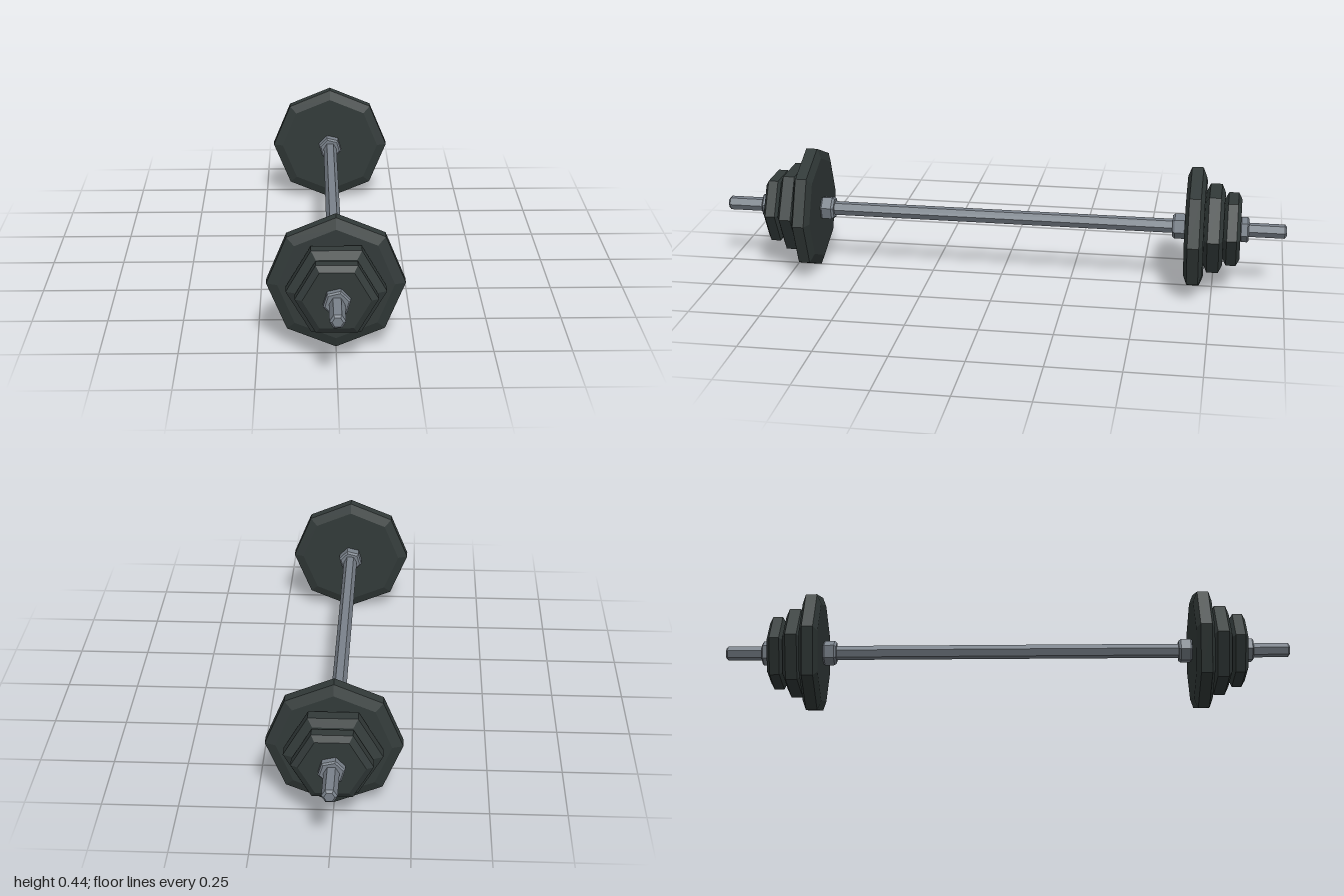
import * as THREE from 'three';

export function createModel() {
  const steel = new THREE.MeshStandardMaterial({ color: 0x7a828b, flatShading: true });
  steel.name = 'steel grey';
  const iron = new THREE.MeshStandardMaterial({ color: 0x323a39, flatShading: true });
  iron.name = 'dark iron';

  // Faceted solid along z from z0 to z1, chamfered at both ends
  function prism(name, material, sides, radius, z0, z1, faceRadius, chamfer, twist = 0) {
    const profile = [
      [0, z0], [faceRadius, z0], [radius, z0 + chamfer],
      [radius, z1 - chamfer], [faceRadius, z1], [0, z1],
    ].map(([r, z]) => new THREE.Vector2(r, z));
    const geometry = new THREE.LatheGeometry(profile, sides, Math.PI / 2 + twist);
    geometry.rotateX(Math.PI / 2);
    const mesh = new THREE.Mesh(geometry, material);
    mesh.name = name;
    return mesh;
  }

  const model = new THREE.Group();
  model.name = 'barbell';

  // Hexagonal bar
  model.add(prism('bar', steel, 6, 0.025, -1, 1, 0.017, 0.007));

  // Weights and collars, the same at each end
  for (const [name, turn] of [['frontWeights', 0], ['backWeights', Math.PI]]) {
    const end = new THREE.Group();
    end.name = name;
    end.add(
      prism('innerCollar', steel, 6, 0.044, 0.606, 0.656, 0.037, 0.008, 0.24),
      prism('largePlate', iron, 8, 0.22, 0.653, 0.718, 0.185, 0.013),
      prism('mediumPlate', iron, 6, 0.158, 0.718, 0.784, 0.128, 0.013),
      prism('smallPlate', iron, 6, 0.13, 0.784, 0.842, 0.107, 0.012),
      prism('outerCollar', steel, 6, 0.044, 0.839, 0.87, 0.038, 0.005, 0.24),
    );
    end.rotation.y = turn;
    model.add(end);
  }

  // Lift so the large plates rest on the ground
  model.children.forEach((part) => { part.position.y = 0.22; });
  return model;
}
